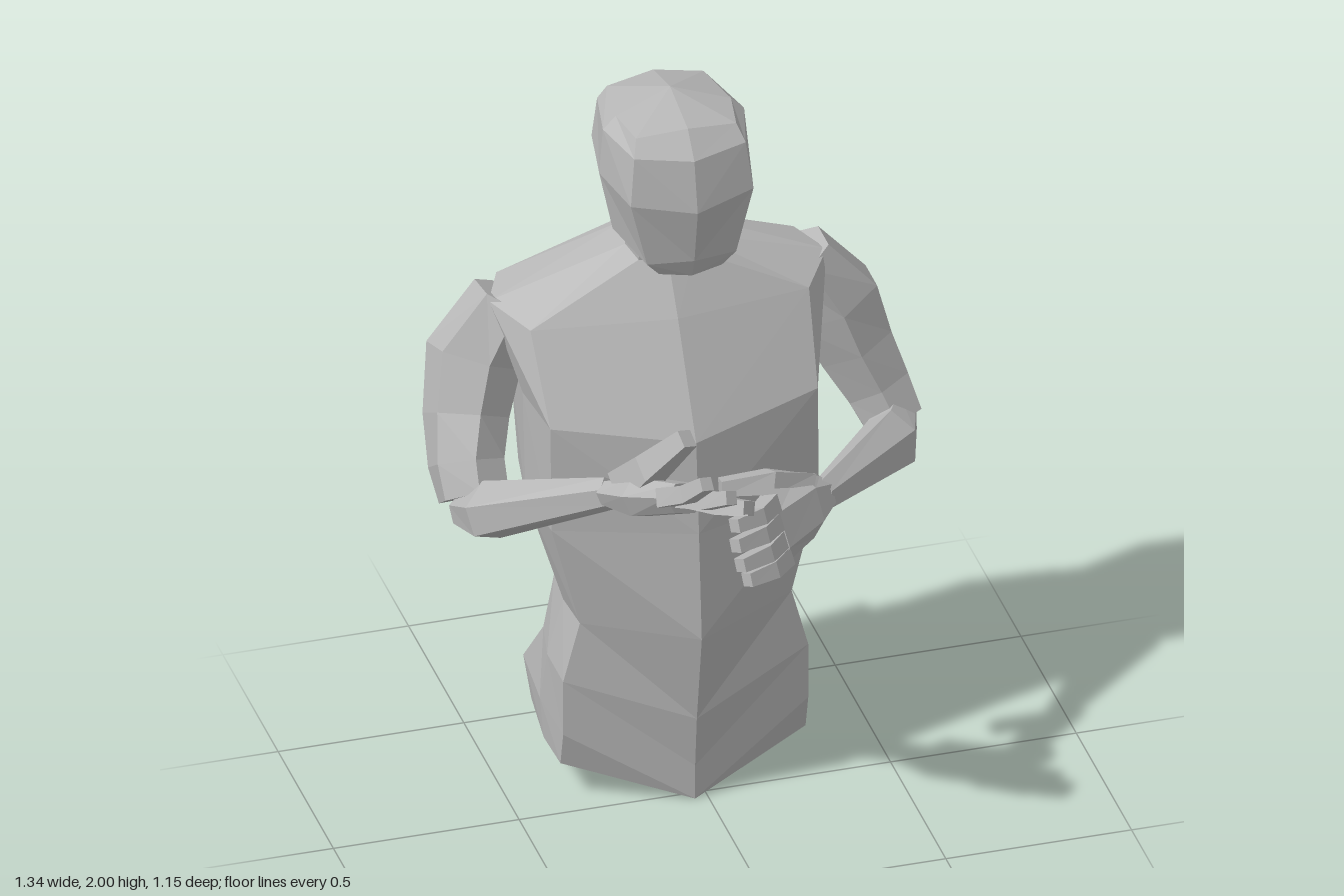
import * as THREE from 'three';

const grey = new THREE.MeshStandardMaterial({ color: 0xb6b6b6, flatShading: true });
grey.name = 'clay grey';

const V = (p) => new THREE.Vector3(p[0], p[1], p[2]);

// Closed loft through rings of points, capped by fans; diagonals mirror across the
// two halves of a ring and the winding is fixed by signed volume
function loft(name, rings, startTip, endTip) {
  const n = rings[0].length;
  const mid = (r) => r.reduce((s, p) => s.add(p), new THREE.Vector3()).divideScalar(n);
  const pts = rings.flat();
  const a = pts.push(startTip || mid(rings[0])) - 1;
  const b = pts.push(endTip || mid(rings[rings.length - 1])) - 1;
  let faces = [];
  for (let i = 0; i < n; i++) {
    const j = (i + 1) % n;
    for (let o = 0; o < (rings.length - 1) * n; o += n) {
      if (i < n / 2) faces.push([o + i, o + j, o + n + j], [o + i, o + n + j, o + n + i]);
      else faces.push([o + i, o + j, o + n + i], [o + j, o + n + j, o + n + i]);
    }
    const l = (rings.length - 1) * n;
    faces.push([a, j, i], [b, l + i, l + j]);
  }
  const cross = new THREE.Vector3();
  const volume = faces.reduce((s, f) => s + pts[f[0]].dot(cross.crossVectors(pts[f[1]], pts[f[2]])), 0);
  if (volume < 0) faces = faces.map((f) => [f[0], f[2], f[1]]);
  const indexed = new THREE.BufferGeometry().setFromPoints(pts);
  indexed.setIndex(faces.flat());
  const geo = indexed.toNonIndexed();
  geo.computeVertexNormals();
  const mesh = new THREE.Mesh(geo, grey);
  mesh.name = name;
  return mesh;
}

// Full ring from half a ring listed front centre to back centre
function mirrorRing(half, cx) {
  const left = half.map(([x, y, z]) => new THREE.Vector3(cx + x, y, z));
  const right = half.slice(1, -1).reverse().map(([x, y, z]) => new THREE.Vector3(cx - x, y, z));
  return [...left, ...right];
}

// Tapered limb: sections are [x, y, z, half width, half height along ref]
function limb(name, sections, ref, sides = 6) {
  const c = sections.map(V);
  const sv = sides === 4 ? Math.SQRT2 : 1;
  const rings = sections.map((s, i) => {
    const before = c[i].clone().sub(c[Math.max(i - 1, 0)]).normalize();
    const after = c[Math.min(i + 1, c.length - 1)].clone().sub(c[i]).normalize();
    const dir = before.add(after).normalize();
    const u = dir.clone().cross(ref).normalize();
    const v = u.clone().cross(dir);
    return Array.from({ length: sides }, (_, k) => {
      const t = ((k + 0.5) / sides) * Math.PI * 2;
      return c[i].clone()
        .addScaledVector(u, (Math.cos(t) * s[3]) / Math.cos(Math.PI / sides))
        .addScaledVector(v, Math.sin(t) * s[4] * sv);
    });
  });
  return loft(name, rings);
}

function hand(name, { palm, across, index, pinky, bend, tips, thumb }) {
  const g = new THREE.Group();
  g.name = name;
  g.add(limb('palm', palm, across));
  tips.forEach((tip, i) => {
    const root = V(index).lerp(V(pinky), i / 3);
    const joint = root.clone().lerp(V(tip), 0.5).add(V(bend));
    g.add(limb('finger', [
      [...root.toArray(), 0.025, 0.024],
      [...joint.toArray(), 0.023, 0.022],
      [...tip, 0.018, 0.018],
    ], across, 4));
  });
  g.add(limb('thumb', thumb, across, 4));
  return g;
}

export function createModel() {
  const model = new THREE.Group();
  model.name = 'upperBody';
  const up = new THREE.Vector3(0, 1, 0);
  const fwd = new THREE.Vector3(0, 0, 1);

  // Torso, from the hips up to the shoulders and neck
  const torso = [
    [[0, 0, 0.03], [0.33, 0.1, -0.08], [0.33, 0.09, -0.23], [0.31, 0.1, -0.41], [0, 0.07, -0.48]],
    [[0, 0.1, 0.03], [0.33, 0.2, -0.055], [0.335, 0.2, -0.25], [0.32, 0.21, -0.45], [0, 0.165, -0.575]],
    [[0, 0.25, 0.045], [0.33, 0.36, -0.055], [0.33, 0.36, -0.2], [0.3, 0.36, -0.335], [0, 0.28, -0.48]],
    [[0, 0.515, 0.09], [0.285, 0.53, -0.055], [0.29, 0.525, -0.19], [0.275, 0.525, -0.32], [0, 0.52, -0.41]],
    [[0, 0.82, 0.065], [0.36, 0.82, -0.06], [0.385, 0.84, -0.21], [0.36, 0.86, -0.36], [0, 0.865, -0.49]],
    [[0, 1.08, 0.04], [0.36, 1.12, -0.07], [0.39, 1.15, -0.22], [0.37, 1.18, -0.42], [0, 1.2, -0.525]],
    [[0, 1.36, -0.125], [0.375, 1.345, -0.2], [0.455, 1.385, -0.31], [0.4, 1.395, -0.425], [0, 1.45, -0.46]],
    [[0, 1.485, -0.21], [0.075, 1.49, -0.23], [0.09, 1.5, -0.3], [0.075, 1.52, -0.38], [0, 1.53, -0.42]],
    [[0, 1.6, -0.2], [0.07, 1.6, -0.22], [0.09, 1.62, -0.28], [0.075, 1.66, -0.35], [0, 1.68, -0.395]],
  ].map((h) => mirrorRing(h, -0.035));
  model.add(loft('torsoAndNeck', torso, V([-0.035, 0.03, -0.23])));

  // Head, from the jaw up to the crown
  const head = [
    [[0, 1.545, -0.03], [0.085, 1.555, -0.045], [0.115, 1.57, -0.19], [0.08, 1.61, -0.3], [0, 1.63, -0.365]],
    [[0, 1.6, -0.01], [0.12, 1.595, -0.035], [0.17, 1.63, -0.18], [0.12, 1.66, -0.33], [0, 1.66, -0.38]],
    [[0, 1.76, 0.02], [0.165, 1.78, -0.03], [0.2, 1.79, -0.2], [0.17, 1.8, -0.37], [0, 1.8, -0.435]],
    [[0, 1.9, -0.01], [0.15, 1.91, -0.05], [0.19, 1.92, -0.2], [0.155, 1.91, -0.37], [0, 1.92, -0.405]],
    [[0, 1.965, -0.07], [0.135, 1.95, -0.085], [0.155, 1.955, -0.2], [0.13, 1.945, -0.365], [0, 1.96, -0.385]],
  ].map((h) => mirrorRing(h, -0.025));
  model.add(loft('head', head, null, V([-0.025, 2, -0.23])));

  // Left arm, folded across the belly
  model.add(
    limb('leftUpperArm', [
      [0.36, 1.36, -0.355, 0.075, 0.095], [0.45, 1.205, -0.355, 0.115, 0.11], [0.5, 1.07, -0.345, 0.1, 0.108],
      [0.555, 0.95, -0.315, 0.085, 0.092], [0.59, 0.86, -0.275, 0.075, 0.08],
    ], fwd),
    limb('leftForearm', [
      [0.61, 0.86, -0.29, 0.045, 0.075], [0.56, 0.845, -0.195, 0.065, 0.095], [0.29, 0.885, 0.08, 0.03, 0.05],
    ], up),
    hand('leftHand', {
      palm: [[0.3, 0.885, 0.07, 0.03, 0.05], [0.23, 0.905, 0.14, 0.045, 0.09], [0.11, 0.91, 0.245, 0.038, 0.1]],
      across: V([-0.03, 0.145, -0.045]),
      index: [0.11, 0.985, 0.23],
      pinky: [0.135, 0.84, 0.265],
      bend: [0.012, 0, 0.012],
      tips: [[-0.02, 1, 0.335], [-0.025, 0.955, 0.36], [-0.015, 0.9, 0.37], [0.005, 0.85, 0.365]],
      thumb: [[0.23, 0.94, 0.12, 0.04, 0.045], [0.13, 1, 0.15, 0.03, 0.03], [0, 1, 0.14, 0.024, 0.02]],
    }),
  );

  // Right arm, reaching forward with the palm turned up
  model.add(
    limb('rightUpperArm', [
      [-0.43, 1.36, -0.365, 0.075, 0.095], [-0.52, 1.205, -0.345, 0.115, 0.11], [-0.56, 1.07, -0.28, 0.1, 0.105],
      [-0.58, 0.97, -0.21, 0.09, 0.093], [-0.575, 0.9, -0.16, 0.085, 0.085],
    ], fwd),
    limb('rightForearm', [
      [-0.59, 0.87, -0.16, 0.06, 0.05], [-0.55, 0.9, -0.08, 0.085, 0.08], [-0.32, 1.085, 0.22, 0.03, 0.045],
    ], up),
    hand('rightHand', {
      palm: [[-0.325, 1.08, 0.21, 0.03, 0.045], [-0.26, 1.11, 0.3, 0.05, 0.085], [-0.17, 1.145, 0.395, 0.038, 0.095]],
      across: V([-0.14, 0.07, 0.08]),
      index: [-0.235, 1.17, 0.415],
      pinky: [-0.12, 1.11, 0.345],
      bend: [0.005, -0.005, 0.01],
      tips: [[-0.16, 1.28, 0.555], [-0.095, 1.23, 0.56], [-0.04, 1.17, 0.525], [-0.01, 1.12, 0.455]],
      thumb: [[-0.28, 1.11, 0.25, 0.05, 0.045], [-0.24, 1.205, 0.32, 0.036, 0.036], [-0.165, 1.325, 0.395, 0.024, 0.022]],
    }),
  );
  return model;
}
